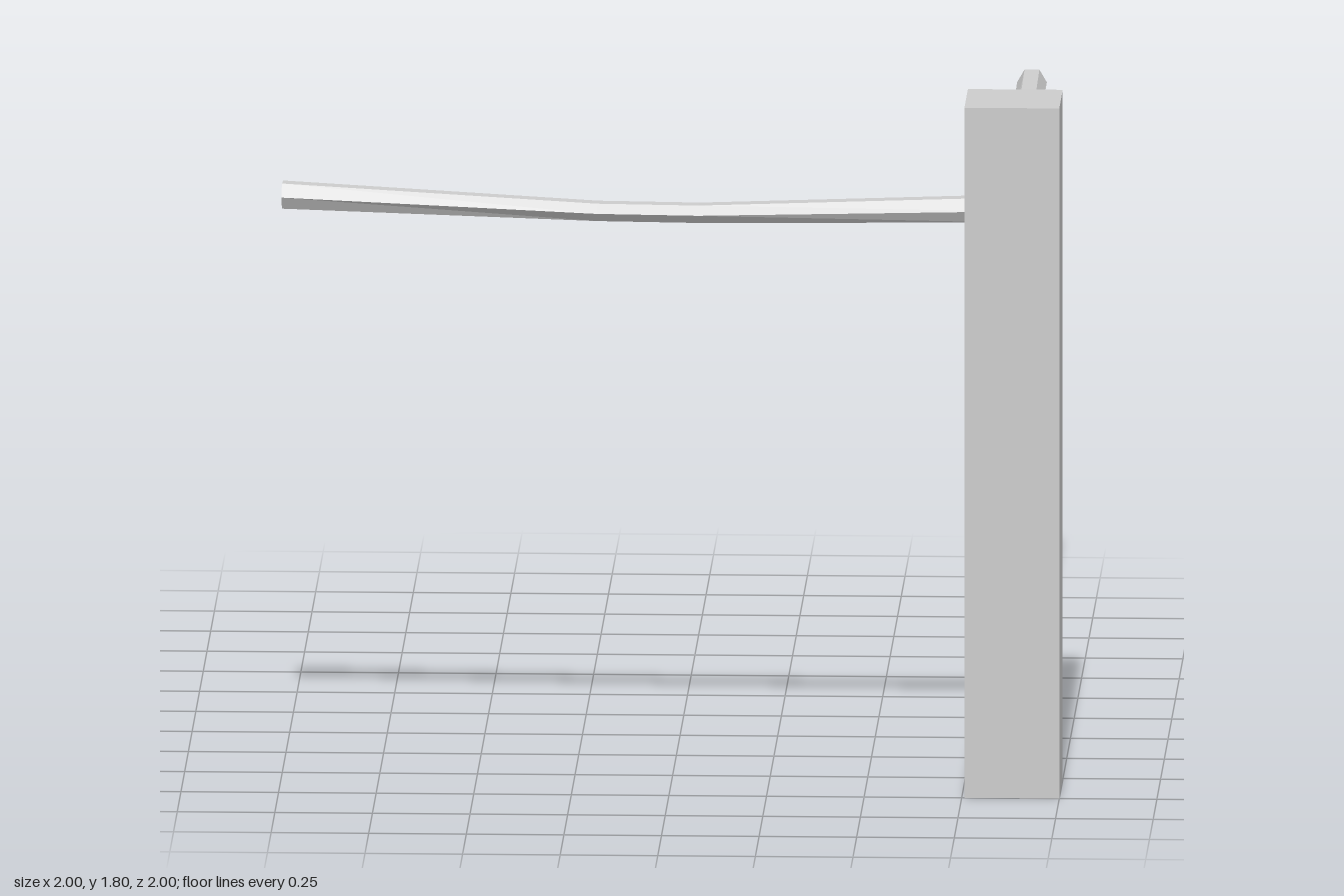
import * as THREE from 'three';

const material = new THREE.MeshStandardMaterial({ color: 0xcccccc, flatShading: true });

// Six-sided rail along x that sags and flattens around a short middle stretch
function makeRail(name, length) {
  const geometry = new THREE.CylinderGeometry(0.038, 0.038, length, 6, 3);
  geometry.rotateZ(Math.PI / 2);
  const p = geometry.attributes.position;
  for (let i = 0; i < p.count; i++) {
    const x = p.getX(i);
    if (Math.abs(x) < length / 4) {
      p.setX(i, Math.sign(x) * 0.13);
      p.setY(i, p.getY(i) * 0.69 - 0.027);
    }
  }
  geometry.computeVertexNormals();
  const rail = new THREE.Mesh(geometry, material);
  rail.name = name;
  return rail;
}

export function createModel() {
  const model = new THREE.Group();
  model.name = 'cornerFence';

  // Square corner post
  const post = new THREE.Mesh(new THREE.BoxGeometry(0.243, 1.805, 0.233), material);
  post.name = 'post';
  post.position.set(0.8785, 0.9025, 0.8835);
  model.add(post);

  // Upper rail running sideways, slightly skewed
  const sideRail = makeRail('sideRail', 1.88);
  sideRail.position.set(-0.06, 1.514, 0.813);
  sideRail.rotation.y = -0.054;
  model.add(sideRail);

  // Lower rail running to the back
  const backRail = makeRail('backRail', 1.88);
  backRail.position.set(0.854, 1.453, -0.06);
  backRail.rotation.y = Math.PI / 2;
  model.add(backRail);

  return model;
}
